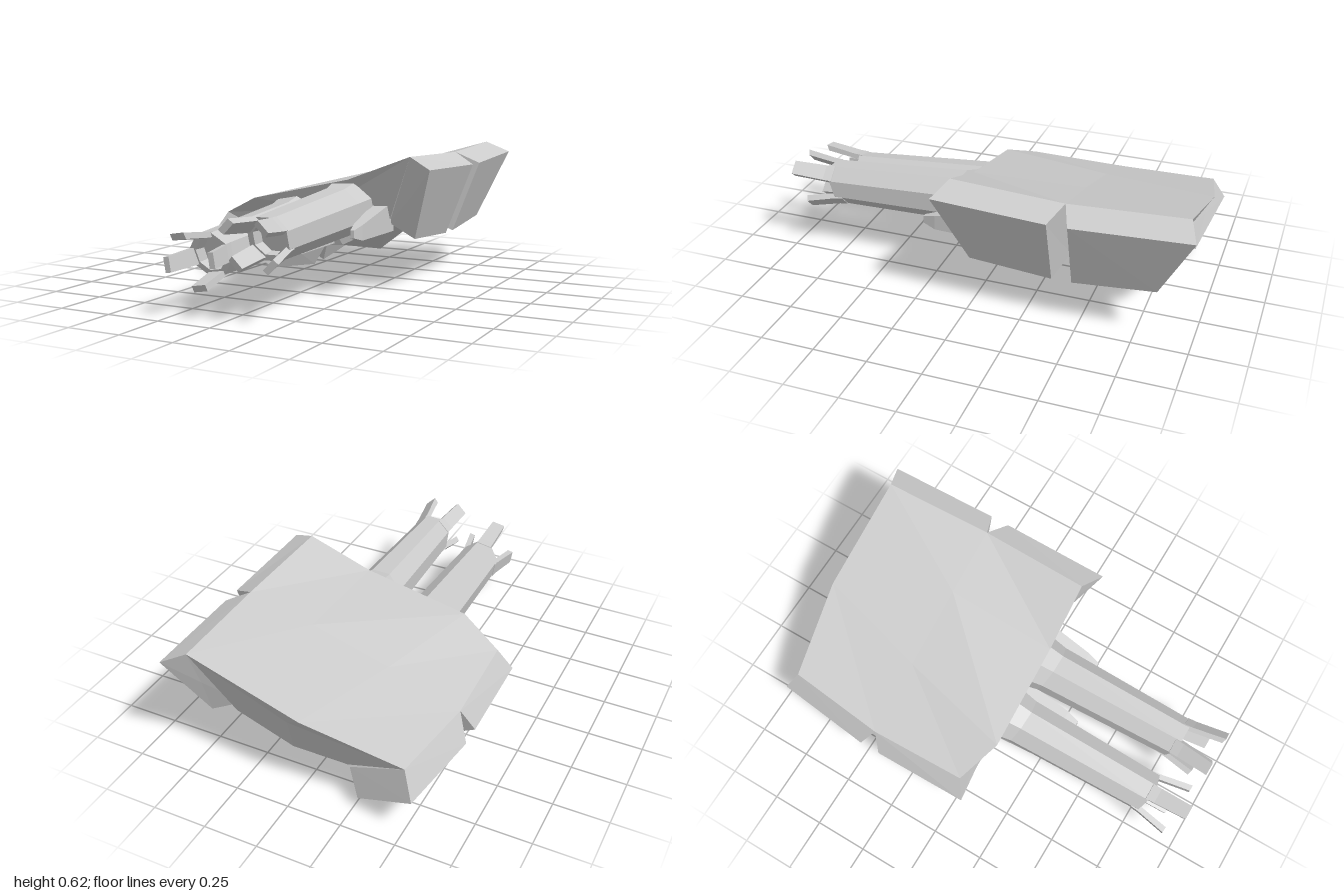
import * as THREE from 'three';

const material = new THREE.MeshStandardMaterial({ color: 0xcccccc, flatShading: true });

// Solid through cross-sections ordered back to front, each counter-clockwise seen from +z.
function loft(name, rings) {
  const pos = [];
  const tri = (a, b, c) => pos.push(...a, ...b, ...c);
  const n = rings[0].length;
  for (let k = 0; k < rings.length - 1; k++) {
    const a = rings[k], b = rings[k + 1];
    for (let i = 0; i < n; i++) {
      const j = (i + 1) % n;
      tri(a[i], a[j], b[j]);
      tri(a[i], b[j], b[i]);
    }
  }
  const centre = (r) => [0, 1, 2].map((c) => r.reduce((s, p) => s + p[c], 0) / n);
  const back = rings[0], front = rings[rings.length - 1];
  const cb = centre(back), cf = centre(front);
  for (let i = 0; i < n; i++) {
    const j = (i + 1) % n;
    tri(cb, back[j], back[i]);
    tri(cf, front[i], front[j]);
  }
  const geo = new THREE.BufferGeometry();
  geo.setAttribute('position', new THREE.Float32BufferAttribute(pos, 3));
  geo.computeVertexNormals();
  const mesh = new THREE.Mesh(geo, material);
  mesh.name = name;
  return mesh;
}

// Octagonal barrel with a bored, slightly raked muzzle and four splayed prongs
function barrel(name, root, tip, phase) {
  const g = new THREE.Group();
  g.name = name;
  const at = (angle, r, z, rake) => {
    const t = (z - 0.1) / 0.7;
    return [
      root[0] + (tip[0] - root[0]) * t + r * Math.cos(angle),
      root[1] + (tip[1] - root[1]) * t + r * Math.sin(angle),
      z + rake * r * Math.sin(angle),
    ];
  };
  const ring = ([z, r, rake]) =>
    Array.from({ length: 8 }, (_, i) => at(phase + Math.PI / 8 + (i * Math.PI) / 4, r, z, rake));
  const profile = [
    [-0.2, 0.1, 0], [0.03, 0.135, 0.3], [0.12, 0.118, 0.3],
    [0.785, 0.1, 0.3], [0.785, 0.072, 0.3], [0.73, 0.066, 0.3],
  ];
  g.add(loft('barrelTube', profile.map(ring)));

  for (let i = 0; i < 4; i++) {
    const a = phase + (i * Math.PI) / 2;
    const section = (r0, r1, w, z) =>
      [[r0, -w], [r1, -w], [r1, w], [r0, w]].map(([r, s]) => {
        const p = at(a, r, z, 0.4);
        return [p[0] - s * Math.sin(a), p[1] + s * Math.cos(a), p[2]];
      });
    g.add(loft('prong', [
      section(0.072, 0.096, 0.038, 0.76),
      section(0.075, 0.1, 0.037, 0.8),
      section(0.1, 0.128, 0.033, 0.945),
    ]));
  }
  return g;
}

// Pointed fin beside the barrel roots
function fin(x, y, length, w, h) {
  const section = (cx, cy, a, b, z) =>
    [[-a, b], [-a, -b], [a, -b], [a, b]].map(([dx, dy]) => [cx + dx, cy + dy, z]);
  return loft('fin', [
    section(x, y + 0.04, w * 2, h * 2, -0.06),
    section(x, y, w, h, length - 0.06),
    section(x, y, w * 0.4, h * 0.5, length),
  ]);
}

export function createModel() {
  const model = new THREE.Group();
  model.name = 'model';

  // Tilted faceted hull
  model.add(loft('hull', [
    [[-0.495, 0.33, -0.9], [-0.2, 0.18, -0.83], [0.06, 0.18, -0.83], [0.31, 0.31, -0.86],
      [0.46, 0.625, -0.96], [0.2, 0.545, -0.965], [-0.06, 0.465, -0.97]],
    [[-0.54, 0.3, -0.44], [-0.21, 0.12, -0.43], [0.09, 0.105, -0.43], [0.325, 0.29, -0.43],
      [0.48, 0.61, -0.44], [0.17, 0.53, -0.44], [-0.2, 0.42, -0.44]],
    [[-0.53, 0.31, 0.02], [-0.21, 0.16, -0.03], [0.09, 0.19, 0.0], [0.31, 0.3, -0.03],
      [0.46, 0.625, 0.08], [0.16, 0.51, 0.09], [-0.33, 0.4, 0.1]],
  ]));

  // Two armour panels along each flank, with a notch between them
  model.add(loft('leftRearPanel', [
    [[0.46, 0.625, -0.96], [0.31, 0.31, -0.8], [0.455, 0.25, -0.84], [0.57, 0.575, -1.0]],
    [[0.48, 0.61, -0.44], [0.325, 0.285, -0.43], [0.46, 0.22, -0.47], [0.588, 0.558, -0.48]],
  ]));
  model.add(loft('leftFrontPanel', [
    [[0.48, 0.61, -0.44], [0.325, 0.285, -0.43], [0.46, 0.22, -0.38], [0.588, 0.558, -0.39]],
    [[0.46, 0.625, 0.08], [0.31, 0.305, -0.04], [0.455, 0.245, 0.0], [0.575, 0.575, 0.13]],
  ]));
  model.add(loft('rightRearPanel', [
    [[-0.495, 0.33, -0.9], [-0.55, 0.215, -0.955], [-0.27, 0.06, -0.88], [-0.21, 0.17, -0.83]],
    [[-0.54, 0.3, -0.44], [-0.597, 0.185, -0.5], [-0.265, 0.01, -0.49], [-0.21, 0.12, -0.43]],
  ]));
  model.add(loft('rightFrontPanel', [
    [[-0.54, 0.3, -0.44], [-0.597, 0.185, -0.4], [-0.265, 0.002, -0.39], [-0.21, 0.12, -0.43]],
    [[-0.53, 0.31, 0.02], [-0.595, 0.2, 0.06], [-0.28, 0.05, 0.0], [-0.22, 0.16, -0.04]],
  ]));

  // Twin barrels
  model.add(barrel('rightBarrel', [-0.14, 0.285], [-0.132, 0.25], 0.17));
  model.add(barrel('leftBarrel', [0.13, 0.365], [0.145, 0.335], 0.8));

  // Fins around the barrel roots
  model.add(fin(0.28, 0.295, 0.29, 0.022, 0.035));
  model.add(fin(0.0, 0.215, 0.34, 0.025, 0.03));
  model.add(fin(-0.19, 0.165, 0.3, 0.025, 0.022));
  return model;
}
